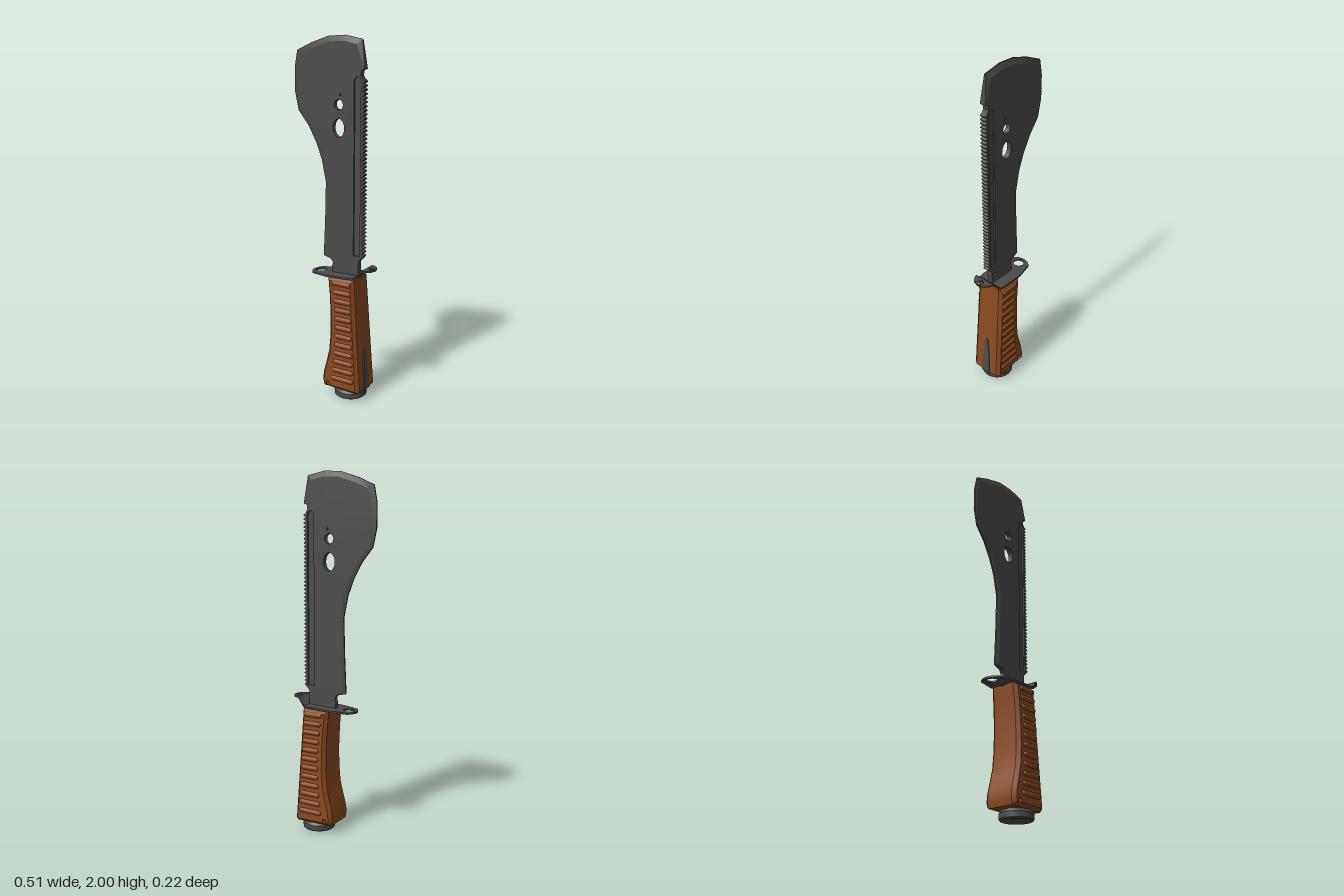
import * as THREE from 'three';
import { toCreasedNormals } from 'three/addons/utils/BufferGeometryUtils.js';

const steel = new THREE.MeshStandardMaterial({ color: 0x4b4b4b });
steel.name = 'dark steel';
const grip = new THREE.MeshStandardMaterial({ color: 0x8b4a20 });
grip.name = 'brown grip';

function add(parent, name, geometry, material) {
  const mesh = new THREE.Mesh(geometry, material);
  mesh.name = name;
  parent.add(mesh);
  return mesh;
}

// Clockwise ellipse for a hole
function ellipse(cx, cy, rx, ry, n) {
  return Array.from({ length: n }, (_, i) => {
    const a = -i / n * Math.PI * 2;
    return [cx + rx * Math.cos(a), cy + ry * Math.sin(a)];
  });
}

// Move each corner of a counterclockwise outline inwards by inset(i)
function insetOutline(pts, inset) {
  const n = pts.length;
  const normal = (a, b) => {
    const l = Math.hypot(b[0] - a[0], b[1] - a[1]);
    return [-(b[1] - a[1]) / l, (b[0] - a[0]) / l];
  };
  return pts.map((p, i) => {
    const u = normal(pts[(i + n - 1) % n], p), v = normal(p, pts[(i + 1) % n]);
    const k = inset(i) / (1 + u[0] * v[0] + u[1] * v[1]);
    return inset(i) ? [p[0] + (u[0] + v[0]) * k, p[1] + (u[1] + v[1]) * k] : p;
  });
}

// Symmetric slab: two faces at +-face(x, y), a bevel out to +-rim(x, y, i), and through holes
function slab(outline, inset, face, rim, holes, crease) {
  const pos = [];
  const tri = (a, b, c) => pos.push(...a, ...b, ...c);
  const strip = (front, back) => front.forEach((a, i) => {
    const j = (i + 1) % front.length;
    tri(a, back[i], back[j]);
    tri(a, back[j], front[j]);
  });
  const lift = (pts, f, s) => pts.map(([x, y], i) => [x, y, s * f(x, y, i)]);
  const inner = insetOutline(outline, inset);
  const rings = [lift(inner, face, 1), lift(outline, rim, 1), lift(outline, rim, -1), lift(inner, face, -1)];
  for (let i = 0; i < 3; i++) strip(rings[i], rings[i + 1]);
  holes.forEach(h => strip(lift(h, face, 1), lift(h, face, -1)));

  const vec = pts => pts.map(p => new THREE.Vector2(...p));
  const all = [inner, ...holes].flat();
  const front = lift(all, face, 1), back = lift(all, face, -1);
  for (const [a, b, c] of THREE.ShapeUtils.triangulateShape(vec(inner), holes.map(vec))) {
    tri(front[a], front[b], front[c]);
    tri(back[a], back[c], back[b]);
  }
  const g = new THREE.BufferGeometry();
  g.setAttribute('position', new THREE.Float32BufferAttribute(pos, 3));
  return toCreasedNormals(g, crease);
}

function buildBlade(root) {
  const edge = [
    [0.165, 1.98], [0.06, 2.0], [-0.04, 1.995], [-0.15, 1.96], [-0.24, 1.92], [-0.257, 1.83],
    [-0.257, 1.7], [-0.235, 1.6], [-0.17, 1.52], [-0.12, 1.43], [-0.085, 1.34], [-0.06, 1.22],
    [-0.065, 1.02], [-0.075, 0.8],
  ];
  const tang = [[-0.022, 0.79], [-0.008, 0.77], [-0.016, 0.745], [-0.013, 0.7], [0.155, 0.7], [0.155, 0.8], [0.174, 0.82]];
  // Saw teeth up the spine
  const teeth = [], count = 45, step = 0.955 / count;
  for (let i = 0; i < count; i++) {
    const y = 0.825 + i * step;
    teeth.push([0.186, y + step * 0.35], [0.186, y + step * 0.55], [0.173, y + step]);
  }
  const outline = [[0.185, 1.83], ...edge, ...tang, ...teeth, [0.162, 1.8], [0.166, 1.825]];
  const isEdge = i => i >= 1 && i <= edge.length;
  const face = x => 0.0135 + 0.02 * x;
  const groove = [[0.163, 0.83], [0.123, 0.83], [0.123, 1.77], [0.131, 1.788], [0.143, 1.793], [0.155, 1.788], [0.163, 1.77]];
  const holes = [
    ellipse(0.027, 1.52, 0.036, 0.05, 16),
    ellipse(0.027, 1.643, 0.028, 0.028, 12),
    ellipse(0.037, 1.695, 0.006, 0.006, 8),
    groove,
  ];
  const inset = i => !isEdge(i) ? 0 : i < 6 ? 0.03 : 0.02;
  add(root, 'blade', slab(outline, inset, face, (x, y, i) => isEdge(i) ? 0.004 : face(x), holes, 0.2), steel);
  // Thin floor inside the groove
  add(root, 'grooveFloor', new THREE.BoxGeometry(0.046, 0.97, 0.014), steel).position.set(0.143, 1.312, 0);
}

function buildGuard(root) {
  // Three flat sections joined along the bends; profile gives the height along x
  const profile = x => x < 0.155 ? 0.7 + (x + 0.14) * 0.04 : x < 0.2 ? 0.7118 + (x - 0.155) * 1.05 : 0.759;
  const sections = [
    [[[-0.14, 0.006], [-0.133, 0.032], [-0.115, 0.058], [-0.01, 0.083], [0.13, 0.083], [0.155, 0.076]], [-0.093, 0.032]],
    [[[0.155, 0.076], [0.2, 0.063]], null],
    [[[0.2, 0.063], [0.222, 0.056], [0.245, 0.036], [0.257, 0.003]], [0.232, 0.017]],
  ];
  const guard = new THREE.Group();
  guard.name = 'guard';
  for (const [half, hole] of sections) {
    const lower = half.map(([x, z]) => new THREE.Vector2(x, -z));
    const upper = half.map(([x, z]) => new THREE.Vector2(x, z)).reverse();
    const shape = new THREE.Shape([...lower, ...upper]);
    if (hole) shape.holes.push(new THREE.Path(ellipse(hole[0], 0, hole[1], hole[1], 8).map(p => new THREE.Vector2(...p))));
    const g = new THREE.ExtrudeGeometry(shape, { depth: 0.01, bevelEnabled: false }).rotateX(-Math.PI / 2);
    const p = g.attributes.position;
    for (let i = 0; i < p.count; i++) p.setY(i, p.getY(i) + profile(p.getX(i)));
    g.computeVertexNormals();
    add(guard, 'guardSection', g, steel);
  }
  root.add(guard);
}

function buildHandle(root) {
  const outline = [
    [0.16, 0.708], [-0.005, 0.708], [0.006, 0.6], [0.012, 0.49], [0.013, 0.37], [0.005, 0.27], [-0.012, 0.2],
    [-0.028, 0.14], [-0.034, 0.09], [-0.025, 0.053], [0.195, 0.048], [0.205, 0.06],
  ];
  const face = (x, y) => 0.1 - 0.018 * y;
  const hole = ellipse(0.01, 0.08, 0.012, 0.012, 12);
  add(root, 'handle', slab(outline, () => 0.017, face, (x, y) => face(x, y) - 0.02, [hole], 0.5), grip);

  // Grip ribs on both sides
  const ribs = new THREE.Group();
  ribs.name = 'gripRibs';
  for (let i = 0; i < 12; i++) {
    const t = i / 11, y = 0.68 - t * 0.56, r = 0.014;
    const left = 0.03 + 0.022 * Math.sin(Math.PI * t), right = 0.148 + 0.027 * t;
    const g = new THREE.CapsuleGeometry(r, right - left - 2 * r, 4, 12).rotateZ(Math.PI / 2).scale(1, 1, 0.8);
    for (const s of [1, -1]) add(ribs, 'rib', g, grip).position.set((left + right) / 2, y, s * (face(0, y) - 0.001));
  }
  root.add(ribs);

  // Spring tongue along the back of the handle
  const tongue = new THREE.Shape([[-0.029, 0.055], [0.029, 0.055], [0.024, 0.17], [0.009, 0.3], [0, 0.308], [-0.009, 0.3], [-0.024, 0.17]]
    .map(p => new THREE.Vector2(...p)));
  const g = new THREE.ExtrudeGeometry(tongue, { depth: 0.008, bevelEnabled: false }).rotateY(Math.PI / 2);
  const p = g.attributes.position;
  for (let i = 0; i < p.count; i++) p.setX(i, p.getX(i) + 0.201 - (p.getY(i) - 0.06) * 0.0694);
  g.computeVertexNormals();
  add(root, 'springTongue', g, steel);
}

function buildPommel(root) {
  const profile = [[0, 0], [0.082, 0], [0.091, 0.007], [0.092, 0.036], [0.085, 0.044], [0.08, 0.055], [0, 0.055]];
  const g = new THREE.LatheGeometry(profile.map(p => new THREE.Vector2(...p)), 28);
  add(root, 'pommel', toCreasedNormals(g, 0.5), steel).position.x = 0.102;
}

export function createModel() {
  const root = new THREE.Group();
  root.name = 'machete';
  buildBlade(root);
  buildGuard(root);
  buildHandle(root);
  buildPommel(root);
  return root;
}
